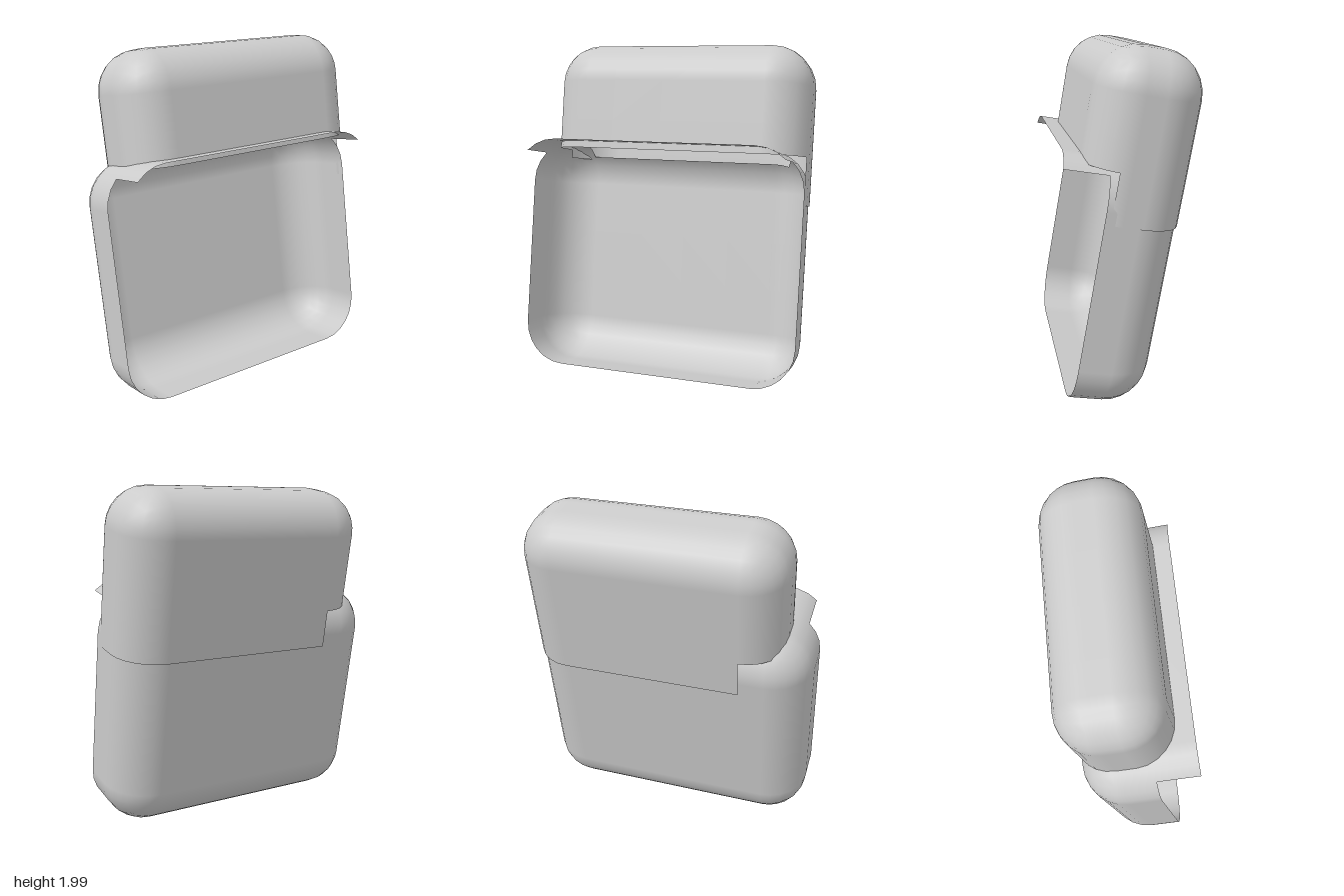
import * as THREE from 'three';

const STEPS = 3; // segments per half of a rounded edge

// Grid coordinates along one axis: rounded end, flat part with extra stops, rounded end
function axis(min, max, r, stops = []) {
  const out = [];
  for (let i = STEPS; i >= 0; i--) out.push(min + r - r * Math.tan((i / STEPS) * Math.PI / 4));
  out.push(...stops);
  for (let i = 0; i <= STEPS; i++) out.push(max - r + r * Math.tan((i / STEPS) * Math.PI / 4));
  return out;
}

// Rounded box skin; keep(x, y, z) decides, before rounding, which faces remain
function roundedShell(grids, r, keep) {
  const n = grids.map(g => g.length - 1);
  const geo = new THREE.BoxGeometry(1, 1, 1, ...n);
  const pos = geo.attributes.position, nor = geo.attributes.normal;
  const raw = [];
  for (let i = 0; i < pos.count; i++) {
    const p = [pos.getX(i), pos.getY(i), pos.getZ(i)].map((v, k) => grids[k][Math.round((v + 0.5) * n[k])]);
    raw.push(p);
    const inner = new THREE.Vector3(...p.map((v, k) =>
      THREE.MathUtils.clamp(v, grids[k][0] + r, grids[k][n[k]] - r)));
    const dir = new THREE.Vector3(...p).sub(inner).normalize();
    nor.setXYZ(i, dir.x, dir.y, dir.z);
    inner.addScaledVector(dir, r);
    pos.setXYZ(i, inner.x, inner.y, inner.z);
  }
  const index = [];
  const src = geo.index.array;
  for (let i = 0; i < src.length; i += 3) {
    const tri = [src[i], src[i + 1], src[i + 2]];
    const c = [0, 1, 2].map(k => (raw[tri[0]][k] + raw[tri[1]][k] + raw[tri[2]][k]) / 3);
    if (keep(...c)) index.push(...tri);
  }
  geo.setIndex(index);
  geo.clearGroups();
  return geo;
}

export function createModel() {
  const group = new THREE.Group();
  const material = new THREE.MeshStandardMaterial({ color: 0xcccccc, side: THREE.DoubleSide });
  const add = (name, geometry) => {
    const mesh = new THREE.Mesh(geometry, material);
    mesh.name = name;
    group.add(mesh);
  };

  // Lower shell: open at the front, its top reaches forward as a lip
  // and is open underneath the upper shell
  const r = 0.25, top = 1.37;
  add('lowerShell', roundedShell([
    axis(-0.872, 0.835, r, [-0.3, 0, 0.3]),
    axis(-0.024, top, r, [0.5, 0.8]),
    axis(-0.085, 0.9, r, [0.35, 0.43, 0.595]),
  ], r, (x, y, z) => {
    if (y < top - 1e-5) return z < 0.35;
    const underUpper = x > -0.622 && x < 0.725 && z < 0.43;
    return z < 0.595 && !underUpper;
  }));

  // Upper shell: closed above, hollow below, its back and left side run down over the lower shell
  add('upperShell', roundedShell([
    axis(-0.72, 0.84, 0.24, [-0.3, 0, 0.3]),
    axis(0.8, 1.977, 0.24, [1.05, 1.28, 1.33, 1.5]),
    axis(-0.095, 0.495, 0.24),
  ], 0.24, (x, y, z) => {
    if (y > 1.33) return true;
    if (z < 0.145 && y > 1.28) return true;
    return y > 1.05 && ((z < 0.145 && x > -0.48) || (x > 0.6 && z < 0.32));
  }));

  // Leaning back and turned slightly to one side
  group.rotation.set(-0.1745, 0.209, 0, 'YXZ');
  const model = new THREE.Group();
  model.name = 'case';
  model.add(group);
  return model;
}
